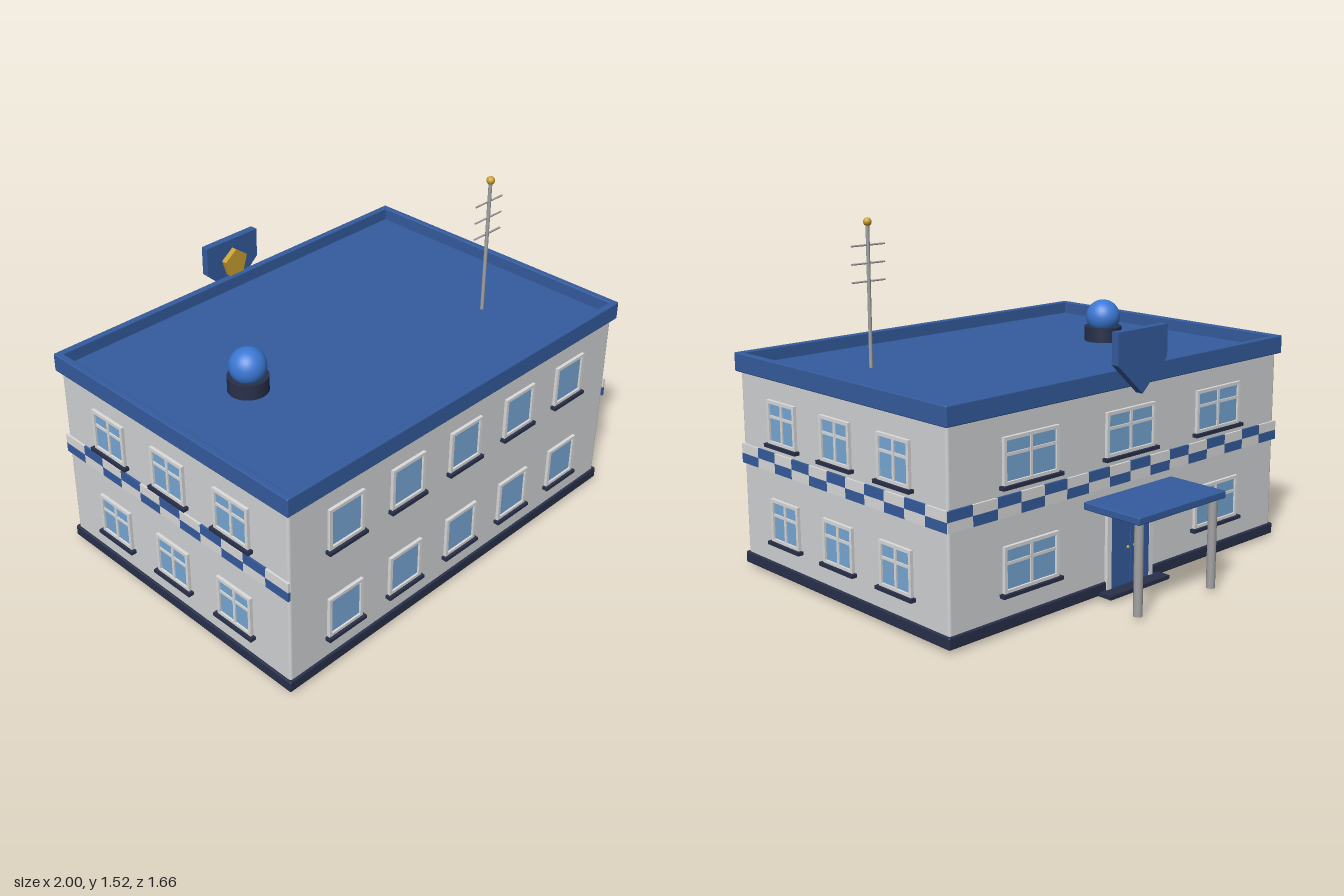
import * as THREE from 'three';
import { RoundedBoxGeometry } from 'three/addons/geometries/RoundedBoxGeometry.js';

const mat = (name, color) => {
  const m = new THREE.MeshStandardMaterial({ color });
  m.name = name;
  return m;
};

export function createModel() {
  const wall = mat('wallGrey', 0xd3d4d6);
  const trim = mat('trimWhite', 0xdcdcdc);
  const navy = mat('navy', 0x28304a);
  const blue = mat('blue', 0x345c9f);
  const domeBlue = mat('domeBlue', 0x3b78d4);
  const glass = mat('glass', 0x78a8d6);
  const gold = mat('gold', 0xcba132);
  const metal = mat('metal', 0xa3a3a5);

  const model = new THREE.Group();
  model.name = 'station';

  const add = (parent, name, geo, material, x = 0, y = 0, z = 0) => {
    const m = new THREE.Mesh(geo, material);
    m.name = name;
    m.position.set(x, y, z);
    parent.add(m);
    return m;
  };
  // Box given by its limits on each axis; a bevel radius rounds it
  const box = (parent, name, material, [x0, x1], [y0, y1], [z0, z1], bevel = 0) => {
    const s = [x1 - x0, y1 - y0, z1 - z0];
    const geo = bevel ? new RoundedBoxGeometry(...s, 2, bevel) : new THREE.BoxGeometry(...s);
    return add(parent, name, geo, material, (x0 + x1) / 2, (y0 + y1) / 2, (z0 + z1) / 2);
  };

  // Walls and plinth
  const zMid = 0.133;
  box(model, 'walls', wall, [-0.972, 0.972], [0.04, 0.87], [-0.535, 0.802], 0.012);
  box(model, 'plinth', navy, [-0.982, 0.982], [0.015, 0.065], [-0.545, 0.812], 0.006);

  // Roof slab with parapet around it
  box(model, 'roofSlab', blue, [-0.975, 0.975], [0.867, 0.89], [-0.54, 0.805]);
  for (const s of [-1, 1]) {
    box(model, 'sideParapet', blue, s < 0 ? [-0.99, -0.96] : [0.96, 0.99], [0.865, 0.946], [-0.555, 0.82], 0.005);
    box(model, 'endParapet', blue, [-0.99, 0.99], [0.865, 0.946], s < 0 ? [-0.555, -0.525] : [0.79, 0.82], 0.005);
  }

  // Each facade is a group whose local +z points out of its wall
  const facade = (name, x, z, turn) => {
    const g = new THREE.Group();
    g.name = name;
    g.position.set(x, 0, z);
    g.rotation.y = turn;
    model.add(g);
    return g;
  };
  const front = facade('frontFacade', 0, 0.802, 0);
  const back = facade('backFacade', 0, -0.535, Math.PI);
  const sides = [
    facade('leftFacade', 0.972, zMid, Math.PI / 2),
    facade('rightFacade', -0.972, zMid, -Math.PI / 2),
  ];

  // Window: glass, frame with opening, optional cross bars, dark sill
  const addWindow = (parent, x, y, w, sillW, crossed) => {
    const g = new THREE.Group();
    g.name = 'window';
    g.position.set(x, y, 0);
    parent.add(g);
    const h = 0.188, b = 0.014, hw = w / 2;
    box(g, 'pane', glass, [-hw + b, hw - b], [b, h - b], [-0.002, 0.005]);
    for (const s of [-1, 1]) {
      box(g, 'jamb', trim, s < 0 ? [-hw, -hw + b] : [hw - b, hw], [0, h], [-0.002, 0.014]);
      box(g, 'rail', trim, [-hw + b, hw - b], s < 0 ? [0, b] : [h - b, h], [-0.002, 0.014]);
    }
    if (crossed) {
      box(g, 'mullion', trim, [-0.006, 0.006], [b, h - b], [0, 0.011]);
      box(g, 'transom', trim, [-hw + b, hw - b], [0.112, 0.124], [0, 0.01]);
    }
    box(g, 'sill', navy, [-sillW / 2, sillW / 2], [-0.014, 0.001], [-0.002, 0.026]);
  };
  for (const y of [0.163, 0.59]) {
    for (let i = -2; i <= 2; i++) addWindow(front, i * 0.341, y, 0.186, 0.205, false);
    for (const side of sides)
      for (let i = -1; i <= 1; i++) addWindow(side, i * 0.367, y, 0.194, 0.22, true);
    for (const i of [-1, 0, 1])
      if (i || y > 0.5) addWindow(back, i * 0.56, y, 0.29, 0.32, true);
  }

  // Two-row chequered band
  const addBand = (parent, length, count, phase) => {
    const t = length / count;
    for (let row = 0; row < 2; row++)
      for (let i = 0; i < count; i++) {
        const x = -length / 2 + i * t, y = 0.466 + row * 0.0425;
        box(parent, 'bandTile', (i + row + phase) % 2 ? trim : blue, [x, x + t], [y, y + 0.0425], [-0.002, 0.009]);
      }
  };
  sides.forEach((s) => addBand(s, 1.345, 11, 0));
  addBand(back, 1.96, 16, 1);

  // Entrance: framed double door with handles, step, canopy on posts
  const entrance = new THREE.Group();
  entrance.name = 'entrance';
  back.add(entrance);
  for (const s of [-1, 1]) {
    box(entrance, 'doorJamb', trim, s < 0 ? [-0.14, -0.115] : [0.115, 0.14], [0, 0.385], [-0.002, 0.016]);
    box(entrance, 'doorLeaf', blue, s < 0 ? [-0.115, -0.002] : [0.002, 0.115], [0.02, 0.36], [-0.002, 0.014]);
    add(entrance, 'doorHandle', new THREE.SphereGeometry(0.007, 10, 8), gold, s * 0.02, 0.19, 0.019);
    add(entrance, 'canopyPost', new THREE.CylinderGeometry(0.019, 0.019, 0.39, 20), metal, s * 0.225, 0.21, 0.26);
  }
  box(entrance, 'doorLintel', trim, [-0.115, 0.115], [0.36, 0.385], [-0.002, 0.016]);
  box(entrance, 'threshold', trim, [-0.14, 0.14], [0, 0.016], [-0.002, 0.012]);
  box(entrance, 'step', navy, [-0.18, 0.18], [0.014, 0.031], [0, 0.075]);
  box(entrance, 'canopy', blue, [-0.265, 0.265], [0.4, 0.432], [0, 0.295], 0.005);

  // Shield on the parapet with a five-sided badge
  const shape = new THREE.Shape();
  [[-0.146, 1.108], [-0.146, 0.975], [0, 0.842], [0.146, 0.975], [0.146, 1.108]]
    .forEach(([x, y], i) => (i ? shape.lineTo(x, y) : shape.moveTo(x, y)));
  add(model, 'shield', new THREE.ExtrudeGeometry(shape, { depth: 0.035, bevelEnabled: false }), blue, 0, 0, -0.602);
  const badgeShape = new THREE.Shape();
  for (let i = 0; i < 5; i++) {
    const a = Math.PI / 2 + (i * Math.PI * 2) / 5;
    badgeShape[i ? 'lineTo' : 'moveTo'](Math.cos(a) * 0.066, Math.sin(a) * 0.066);
  }
  add(model, 'badge', new THREE.ExtrudeGeometry(badgeShape, { depth: 0.027, bevelEnabled: false }), gold, 0, 1.0, -0.568);

  // Roof beacon
  add(model, 'beaconBase', new THREE.CylinderGeometry(0.085, 0.085, 0.068, 32), navy, -0.55, 0.922, 0.135);
  add(model, 'beaconDome', new THREE.SphereGeometry(0.078, 32, 20), domeBlue, -0.55, 1.0, 0.135);

  // Antenna mast with three cross bars and a ball tip
  const antenna = new THREE.Group();
  antenna.name = 'antenna';
  antenna.position.set(0.606, 0, 0.378);
  model.add(antenna);
  add(antenna, 'mast', new THREE.CylinderGeometry(0.008, 0.008, 0.615, 12), metal, 0, 1.1925, 0);
  for (const y of [1.255, 1.33, 1.405])
    add(antenna, 'crossBar', new THREE.CylinderGeometry(0.004, 0.004, 0.17, 8), metal, 0, y, 0).rotation.z = Math.PI / 2;
  add(antenna, 'tip', new THREE.SphereGeometry(0.018, 16, 12), gold, 0, 1.5, 0);

  return model;
}
